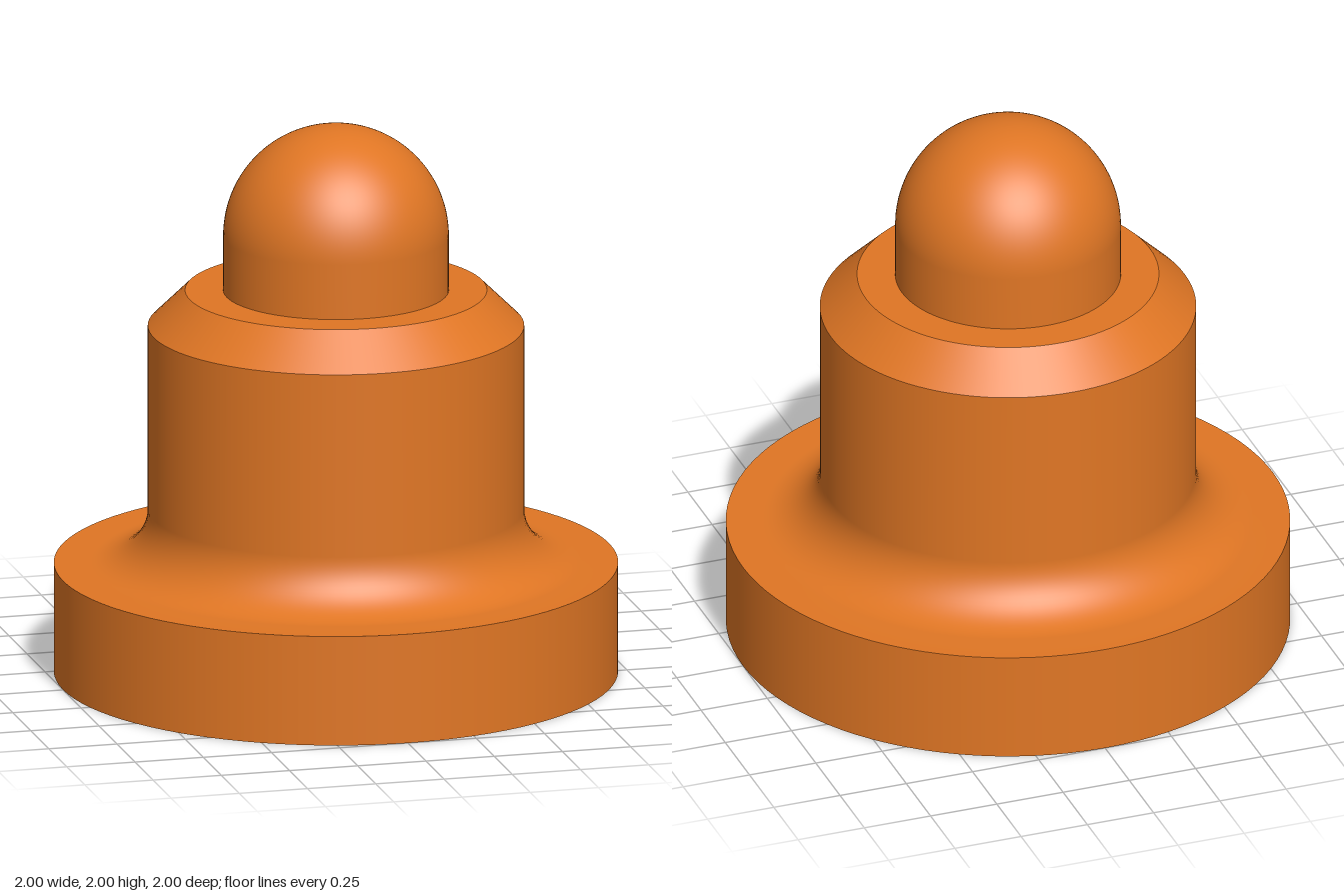
import * as THREE from 'three';

const SEGMENTS = 96;

// Points along an arc in the (radius, height) plane
function arc(cx, cy, r, from, to, steps) {
  return Array.from({ length: steps + 1 }, (_, i) => {
    const a = from + (to - from) * (i / steps);
    return [Math.max(0, cx + r * Math.cos(a)), cy + r * Math.sin(a)];
  });
}

export function createModel() {
  const group = new THREE.Group();
  group.name = 'steppedPlunger';
  const orange = new THREE.MeshStandardMaterial({ color: 0xe07624 });
  orange.name = 'orange';

  // Each profile is one smooth band; edges between bands stay sharp
  function turn(name, profile) {
    const points = profile.map(([r, y]) => new THREE.Vector2(r, y));
    const mesh = new THREE.Mesh(new THREE.LatheGeometry(points, SEGMENTS), orange);
    mesh.name = name;
    group.add(mesh);
  }

  // Wide base disc
  turn('baseUnderside', [[0, 0], [1, 0]]);
  turn('baseRim', [[1, 0], [1, 0.4]]);

  // Base top flows through a concave fillet into the body wall
  turn('filletedBody', [
    [1, 0.4],
    ...arc(0.867, 0.6, 0.2, -Math.PI / 2, -Math.PI, 20),
    [0.667, 1.27],
  ]);

  // Chamfered shoulder
  turn('shoulderChamfer', [[0.667, 1.27], [0.535, 1.4]]);
  turn('shoulderTop', [[0.535, 1.4], [0.4, 1.4]]);

  // Round-ended pin
  turn('domedPin', [[0.4, 1.4], ...arc(0, 1.6, 0.4, 0, Math.PI / 2, 32)]);

  return group;
}
